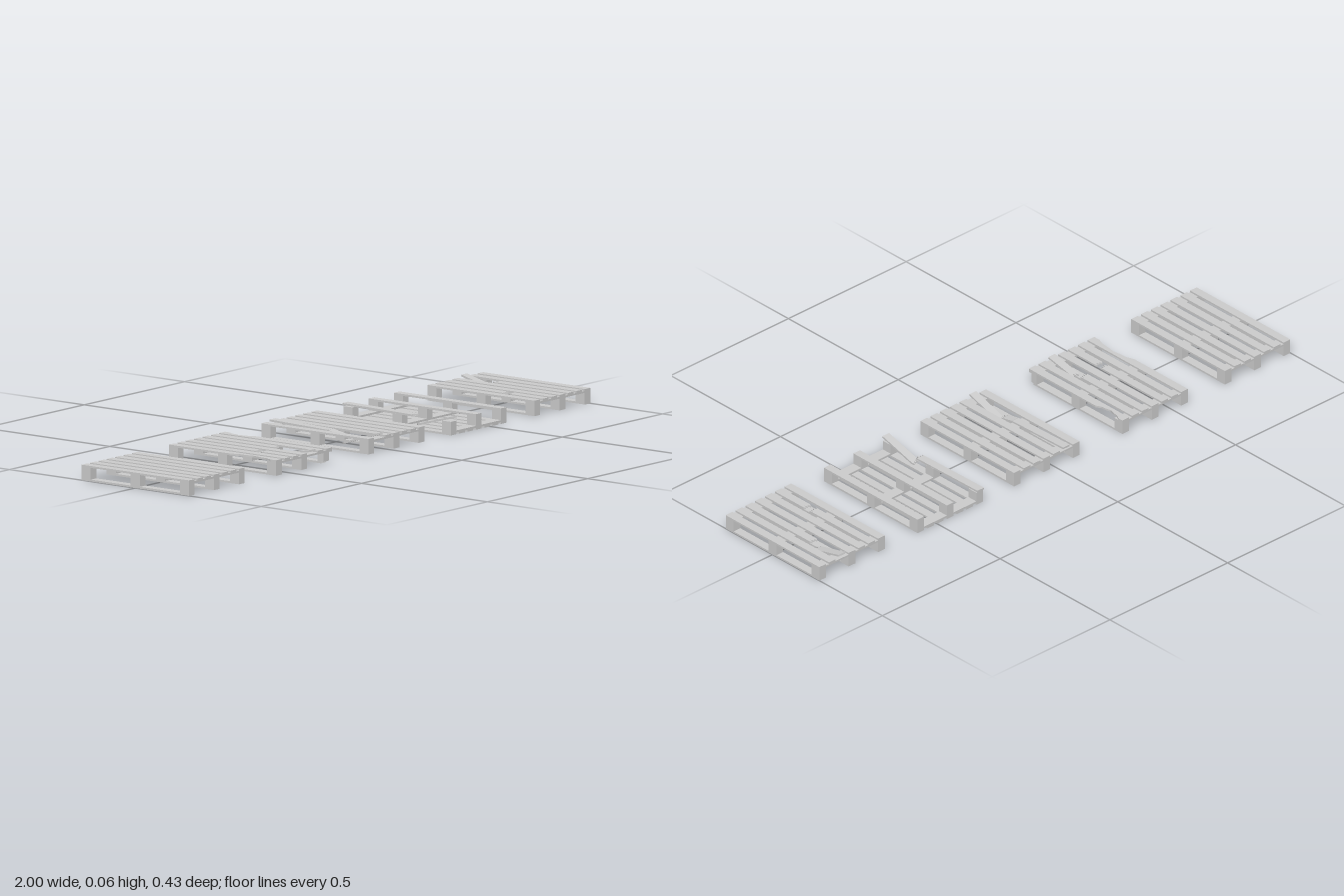
import * as THREE from 'three';

const W = 0.278, L = 0.426, H = 0.049;   // pallet width, length, height
const T = 0.006, SLAT = 0.028, CROSS = 0.036;
const PITCH = (W - SLAT) / 6;
const END = L / 2, BLOCK_Z = END - CROSS / 2, HINGE = END - CROSS;
const JAG = [0.002, -0.007, 0.004, -0.004, 0.008, -0.005, 0.003];

const material = new THREE.MeshStandardMaterial({ color: 0xcccccc, flatShading: true });

function box(parent, name, w, h, d, x, y, z) {
  const mesh = new THREE.Mesh(new THREE.BoxGeometry(w, h, d), material);
  mesh.name = name;
  mesh.position.set(x, y, z);
  parent.add(mesh);
}

// Lengthwise plank from z0 to z1; either end may be splintered, the plank tilted
// about a hinge, or one long edge bitten away (notch: [side, zStart, zEnd])
function plank(parent, name, x, y, { z0 = -END, z1 = END, jag0 = false, jag1 = false, tilt = 0, hinge = 0, notch = null }) {
  const h = SLAT / 2, pts = [];
  const side = (s, from, to) => {
    if (!notch || notch[0] !== s) return;
    for (let i = 0; i <= 6; i++) {
      const f = i / 6;
      const depth = Math.sin(Math.PI * f) * 0.013 + (i % 2 ? 0.003 : 0);
      pts.push([s * (h - depth), (from < to ? notch[1] + (notch[2] - notch[1]) * f : notch[2] + (notch[1] - notch[2]) * f)]);
    }
  };
  const end = (z, jag, dir) => {
    const n = jag ? JAG.length : 2;
    for (let i = 0; i < n; i++) pts.push([dir * (-h + (SLAT * i) / (n - 1)), z + (jag ? JAG[i] : 0)]);
  };
  end(z0, jag0, 1);
  side(1, z0, z1);
  end(z1, jag1, -1);
  side(-1, z1, z0);
  const shape = new THREE.Shape(pts.map(([px, pz]) => new THREE.Vector2(px, pz - hinge)));
  const geo = new THREE.ExtrudeGeometry(shape, { depth: T, bevelEnabled: false });
  geo.rotateX(Math.PI / 2).translate(0, T, 0);
  const mesh = new THREE.Mesh(geo, material);
  mesh.name = name;
  mesh.position.set(x, y, hinge);
  mesh.rotation.x = tilt;
  parent.add(mesh);
}

// slats / skids: index -> list of broken pieces replacing the whole plank
function pallet(name, x, { slats = {}, skids = {}, flipped = false, shortBlock = false } = {}) {
  const g = new THREE.Group();
  g.name = name;
  for (let i = 0; i < 7; i++)
    for (const piece of slats[i] || [{}]) plank(g, 'deckSlat', (i - 3) * PITCH, H - T, piece);
  for (let i = 0; i < 3; i++) {
    const sx = (i - 1) * PITCH * 3;
    for (const piece of skids[i] || [{}]) plank(g, 'bottomSkid', sx, 0, piece);
    for (const z of [-BLOCK_Z, 0, BLOCK_Z]) {
      const cut = shortBlock && i === 2 && z > 0 ? 0.012 : 0;
      box(g, 'spacerBlock', SLAT, H - 3 * T, CROSS - cut, sx, H / 2 - T / 2, z - cut / 2);
    }
  }
  for (const z of [-BLOCK_Z, 0, BLOCK_Z]) box(g, 'crossBoard', W, T, CROSS, 0, H - 1.5 * T, z);
  g.position.x = x;
  if (flipped) {
    g.rotation.z = Math.PI;
    g.position.y = H;
  }
  return g;
}

export function createModel() {
  const model = new THREE.Group();
  model.name = 'palletSet';

  model.add(pallet('intactPallet', -0.861));

  // Several snapped slats, splintered edges and a damaged corner
  model.add(pallet('badlyBrokenPallet', -0.426, {
    slats: {
      0: [{ notch: [-1, 0.03, 0.19] }],
      2: [{ z1: 0.063, jag1: true }, { z0: 0.088, jag0: true }],
      4: [{ z1: 0.066, jag1: true },
        { z0: 0.105, z1: END + 0.002, jag0: true, tilt: -0.2, hinge: HINGE }],
      6: [{ notch: [1, -0.195, -0.09] }],
    },
    skids: { 2: [{ z1: 0.19, jag1: true }] },
    shortBlock: true,
  }));

  // One slat snapped, its front half dropping between the boards
  model.add(pallet('snappedSlatPallet', 0.034, {
    slats: {
      1: [{ z1: 0.018, tilt: 0.025, hinge: 0.018 },
        { z0: 0.018, z1: 0.068, jag1: true, tilt: 0.2, hinge: 0.018 },
        { z0: 0.075, z1: END + 0.003, jag0: true, tilt: -0.31, hinge: HINGE }],
    },
  }));

  // Upside down, with a snapped skid
  model.add(pallet('upturnedPallet', 0.444, {
    flipped: true,
    skids: {
      2: [{ z0: -END - 0.005, z1: 0.06, jag1: true, tilt: -0.015, hinge: 0.018 },
        { z0: 0.075, z1: END + 0.003, jag0: true, tilt: 0.27, hinge: HINGE }],
    },
  }));

  // Two snapped slats
  model.add(pallet('twoBreaksPallet', 0.861, {
    slats: {
      1: [{ z1: 0.052, jag1: true }, { z0: 0.08, jag0: true }],
      4: [{ z1: -0.098, jag1: true, tilt: 0.25, hinge: -HINGE }, { z0: -0.082, jag0: true }],
    },
  }));

  return model;
}
